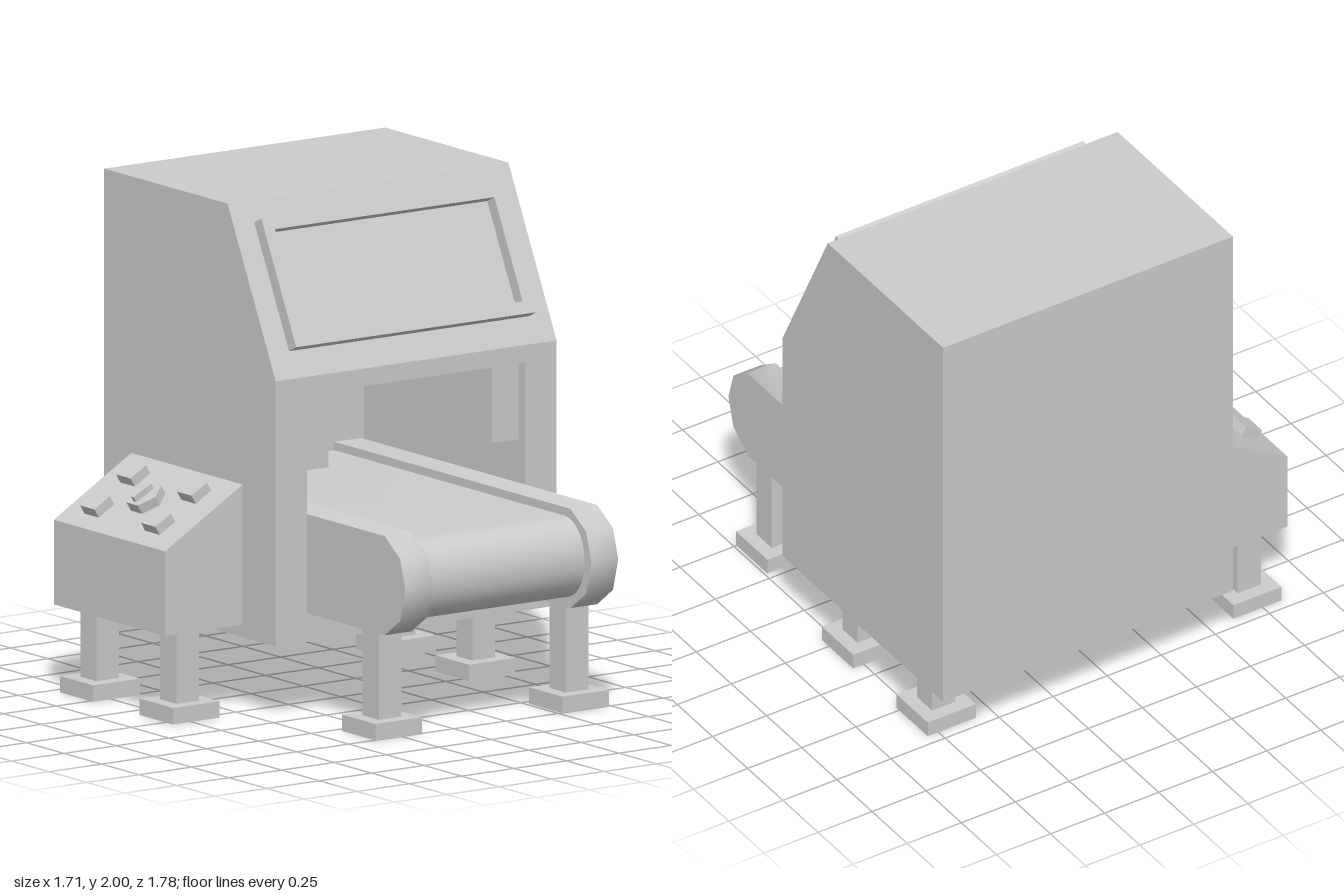
import * as THREE from 'three';
import { toCreasedNormals } from 'three/addons/utils/BufferGeometryUtils.js';

export function createModel() {
  const model = new THREE.Group();
  const grey = new THREE.MeshStandardMaterial({ color: 0xcccccc });

  const add = (name, geometry, parent = model) => {
    const mesh = new THREE.Mesh(geometry, grey);
    mesh.name = name;
    parent.add(mesh);
    return mesh;
  };
  const box = (name, [x0, x1], [y0, y1], [z0, z1], parent = model) => {
    const mesh = add(name, new THREE.BoxGeometry(x1 - x0, y1 - y0, z1 - z0), parent);
    mesh.position.set((x0 + x1) / 2, (y0 + y1) / 2, (z0 + z1) / 2);
    return mesh;
  };
  const shapeOf = (points) => new THREE.Shape(points.map(([a, b]) => new THREE.Vector2(a, b)));
  const extrude = (shape, depth) => new THREE.ExtrudeGeometry(shape, { depth, bevelEnabled: false });
  // Sweeps a (z, y) outline from x0 to x1
  const acrossX = (name, points, x0, x1, crease = 0) => {
    let geometry = extrude(shapeOf(points), x1 - x0).rotateY(-Math.PI / 2).translate(x1, 0, 0);
    if (crease) geometry = toCreasedNormals(geometry, crease);
    return add(name, geometry);
  };
  // Rectangular frame lying in the xy plane, centred on the origin
  const frame = (w, h, border, depth) => {
    const rect = (a, b) => [[-a, -b], [a, -b], [a, b], [-a, b]];
    const shape = shapeOf(rect(w / 2, h / 2));
    shape.holes.push(shapeOf(rect(w / 2 - border, h / 2 - border).reverse()));
    return extrude(shape, depth);
  };

  // Cabinet: two solid cheeks and a middle section with the tunnel cut into it
  const roof = [[0.25, 1.35], [-0.07, 2], [-0.89, 2], [-0.89, 0.3]];
  acrossX('cabinetRightSide', [[0.25, 0.3], ...roof], -0.49, -0.34);
  acrossX('cabinetLeftSide', [[0.25, 0.3], ...roof], 0.7, 0.85);
  acrossX('cabinetMiddle', [
    [0.25, 0.3], [0.25, 0.41], [-0.82, 0.41], [-0.82, 1.28], [0.25, 1.28], ...roof,
  ], -0.34, 0.7);

  // Curtain strips hanging just inside the tunnel mouth
  box('curtainRail', [-0.34, 0.7], [1.27, 1.28], [0.2, 0.21]);
  box('rightCurtain', [-0.34, -0.21], [0.97, 1.28], [0.2, 0.21]);
  box('leftCurtain', [0.57, 0.7], [0.97, 1.28], [0.2, 0.21]);

  // Raised window frame on the sloping front
  const windowFrame = add('windowFrame', frame(1.146, 0.525, 0.05, 0.053));
  windowFrame.position.set(0.182, 1.685, 0.085);
  windowFrame.rotation.x = -Math.atan2(0.32, 0.65);

  // Conveyor rails with faceted round noses
  const rail = [
    [-0.82, 0.41], [0.75, 0.41], [0.855, 0.485], [0.89, 0.61],
    [0.855, 0.73], [0.75, 0.803], [-0.82, 0.803],
  ];
  acrossX('rightRail', rail, -0.33, -0.2, 0.9);
  acrossX('leftRail', rail, 0.557, 0.685, 0.9);

  // Belt with a smooth rounded end
  const belt = [[-0.82, 0.45]];
  for (let i = 0; i <= 20; i++) {
    const a = -Math.PI / 2 + (i / 20) * Math.PI;
    belt.push([0.71 + 0.135 * Math.cos(a), 0.61 + 0.16 * Math.sin(a)]);
  }
  belt.push([-0.82, 0.77]);
  acrossX('belt', belt, -0.2, 0.557, 0.6);

  // Square tube legs on hollow feet
  const leg = (name, x, z, top) => {
    const group = new THREE.Group();
    group.name = name;
    group.position.set(x, 0, z);
    model.add(group);
    const upright = (part, w, border, y0, y1) =>
      add(part, frame(w, w, border, y1 - y0).rotateX(-Math.PI / 2).translate(0, y0, 0), group);
    upright('post', 0.108, 0.015, 0.045, top);
    upright('footRim', 0.222, 0.02, 0, 0.065);
    upright('footPlate', 0.19, 0.045, 0.045, 0.065);
  };
  leg('rightConveyorLeg', -0.265, 0.643, 0.42);
  leg('leftConveyorLeg', 0.627, 0.643, 0.42);
  for (const [end, z] of [['Front', -0.062], ['Back', -0.592]]) {
    leg(`cabinet${end}Leg`, 0.688, z, 0.31);
    leg(`controlBox${end}Leg`, -0.725, z, 0.36);
  }

  // Control box on the right side with a sloping top
  const controlBox = add('controlBox', extrude(shapeOf([
    [-0.86, 0.35], [-0.49, 0.35], [-0.49, 0.905], [-0.86, 0.685],
  ]), 0.74));
  controlBox.position.z = -0.71;

  // Buttons and knob, placed in the plane of the slope
  const panel = new THREE.Group();
  panel.name = 'controlPanel';
  panel.position.set(-0.675, 0.795, -0.34);
  panel.rotation.z = Math.atan2(0.22, 0.37);
  model.add(panel);
  for (const u of [-0.1, 0.1]) {
    for (const v of [-0.205, 0.2]) {
      box('button', [u - 0.043, u + 0.043], [-0.01, 0.04], [v - 0.048, v + 0.048], panel);
    }
  }
  const knob = add('knob', toCreasedNormals(new THREE.CylinderGeometry(0.075, 0.075, 0.045, 6), 0.3), panel);
  knob.position.y = 0.018;
  const pointer = extrude(shapeOf([[-0.05, -0.009], [0.04, -0.018], [0.04, 0.018], [-0.05, 0.009]]), 0.025);
  add('knobPointer', pointer.rotateX(-Math.PI / 2), panel).position.y = 0.04;

  return model;
}
